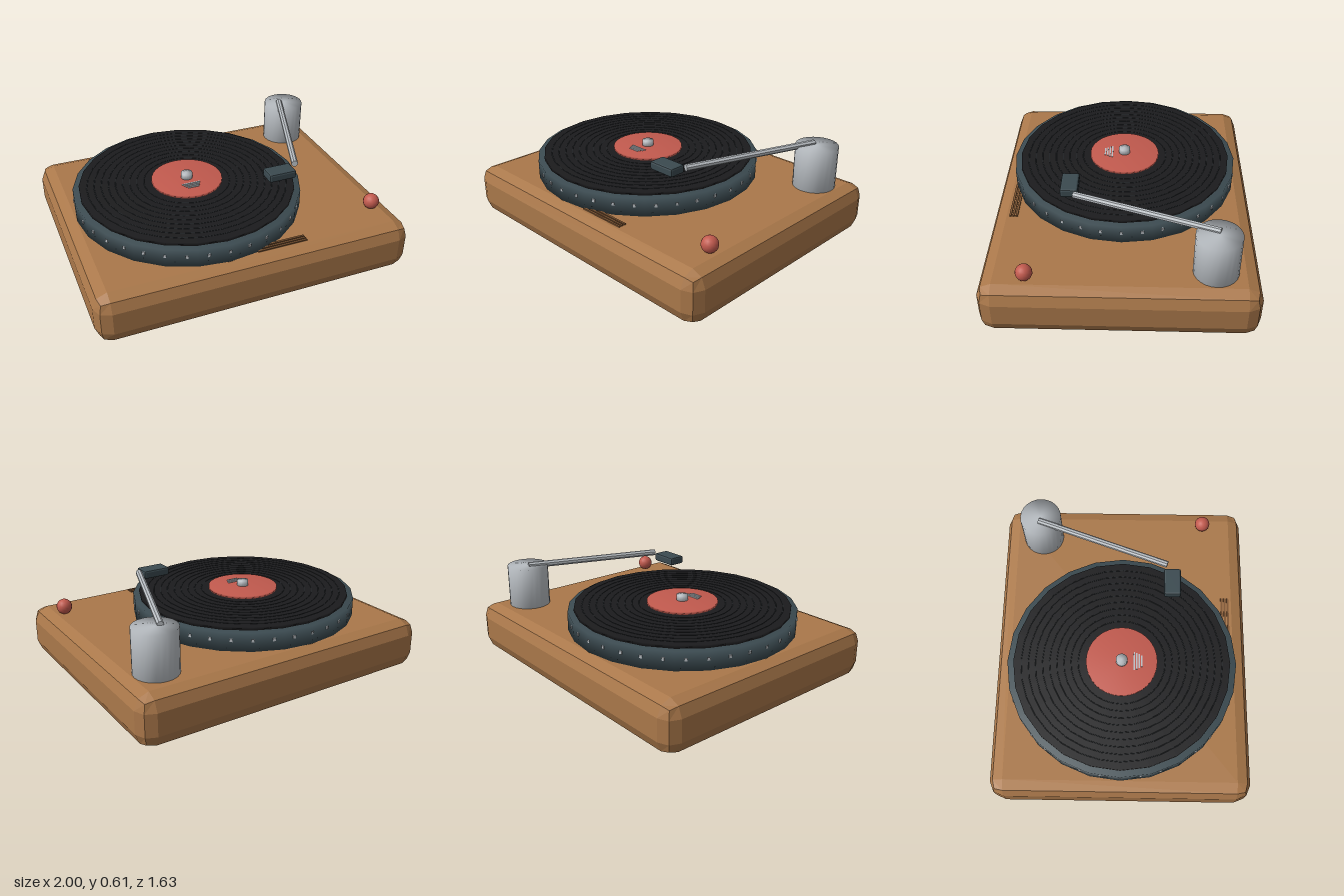
import * as THREE from 'three';
import { mergeVertices } from 'three/addons/utils/BufferGeometryUtils.js';
import { RoundedBoxGeometry } from 'three/addons/geometries/RoundedBoxGeometry.js';

const paint = (name, color) => {
  const m = new THREE.MeshStandardMaterial({ color });
  m.name = name;
  return m;
};

// Share vertices across edges so the normals blend softly
function soften(geometry) {
  geometry.deleteAttribute('uv');
  geometry.deleteAttribute('normal');
  const merged = mergeVertices(geometry);
  merged.computeVertexNormals();
  return merged;
}

// One normal per facet
function facet(geometry) {
  const flat = geometry.index ? geometry.toNonIndexed() : geometry;
  flat.computeVertexNormals();
  return flat;
}

export function createModel() {
  const wood = paint('wood', 0xaa784a);
  const darkWood = paint('darkWood', 0x7d5533);
  const slate = paint('slate', 0x3b4a50);
  const vinyl = paint('vinyl', 0x1b1b1d);
  const groove = paint('groove', 0x23282b);
  const red = paint('red', 0xc25a4e);
  const metal = paint('metal', 0xb9bec3);

  const model = new THREE.Group();
  model.name = 'turntable';

  const add = (name, geometry, material, x, y, z, parent = model) => {
    const mesh = new THREE.Mesh(geometry, material);
    mesh.name = name;
    mesh.position.set(x, y, z);
    parent.add(mesh);
    return mesh;
  };
  // Upright disc between two heights
  const disc = (name, r, y0, y1, sides, material, x, z, parent) =>
    add(name, soften(new THREE.CylinderGeometry(r, r, y1 - y0, sides)), material, x, (y0 + y1) / 2, z, parent);

  // Plinth with chamfered edges
  add('plinth', facet(new RoundedBoxGeometry(2, 0.32, 1.63, 1, 0.09)), wood, 0, 0.16, 0);

  // Feet, nearly flush with the underside
  for (const x of [-0.74, 0.74]) for (const z of [-0.585, 0.585]) {
    const ring = new THREE.RingGeometry(0.085, 0.097, 20, 1, -0.3, Math.PI);
    add('foot', ring, slate, x, -0.001, z).rotation.x = Math.PI / 2;
  }

  // Vent slats on the deck
  for (let i = 0; i < 3; i++)
    add('ventSlat', new THREE.BoxGeometry(0.32, 0.009, 0.013), darkWood, 0.16, 0.3235, 0.661 + i * 0.02);

  // Platter with strobe dots around the rim
  const cx = -0.183;
  const platter = new THREE.Group();
  platter.name = 'platterAssembly';
  platter.position.x = cx;
  model.add(platter);
  disc('platter', 0.725, 0.315, 0.437, 24, slate, 0, 0, platter);
  const dotGeometry = new THREE.BoxGeometry(0.016, 0.02, 0.014);
  for (let i = 0; i < 36; i++) {
    const a = (i / 36) * Math.PI * 2;
    add('strobeDot', dotGeometry, metal, Math.sin(a) * 0.718, 0.39, Math.cos(a) * 0.718, platter).rotation.y = a;
  }

  // Record with raised groove rings
  disc('record', 0.685, 0.435, 0.458, 24, vinyl, 0, 0, platter);
  for (let i = 0; i < 9; i++) {
    const ring = new THREE.TorusGeometry(0.275 + i * 0.045, 0.003, 4, 32);
    add('grooveRing', ring, groove, 0, 0.4575, 0, platter).rotation.x = Math.PI / 2;
  }

  // Label, its printed bars and the spindle
  disc('label', 0.225, 0.455, 0.475, 32, red, 0, 0, platter);
  [0.12, 0.108, 0.092, 0.074].forEach((w, i) =>
    add('labelBar', new THREE.BoxGeometry(w, 0.006, 0.009), metal, 0, 0.476, 0.08 + i * 0.0155, platter));
  disc('spindle', 0.037, 0.47, 0.51, 16, metal, 0, 0, platter);

  // Tonearm post, arm and headshell
  disc('armPost', 0.134, 0.315, 0.592, 24, metal, 0.77, -0.55);
  const from = new THREE.Vector3(0.74, 0.594, -0.56);
  const to = new THREE.Vector3(0.435, 0.594, 0.285);
  const along = to.clone().sub(from);
  const arm = add('tonearm', facet(new THREE.CylinderGeometry(0.021, 0.021, along.length(), 8)), metal,
    (from.x + to.x) / 2, 0.594, (from.z + to.z) / 2);
  arm.quaternion.setFromUnitVectors(new THREE.Vector3(0, 1, 0), along.normalize());
  add('headshell', facet(new RoundedBoxGeometry(0.18, 0.054, 0.108, 1, 0.012)), slate, 0.315, 0.572, 0.317);

  // Control knob
  add('knob', new THREE.SphereGeometry(0.05, 16, 12), red, 0.86, 0.367, 0.54);

  return model;
}
